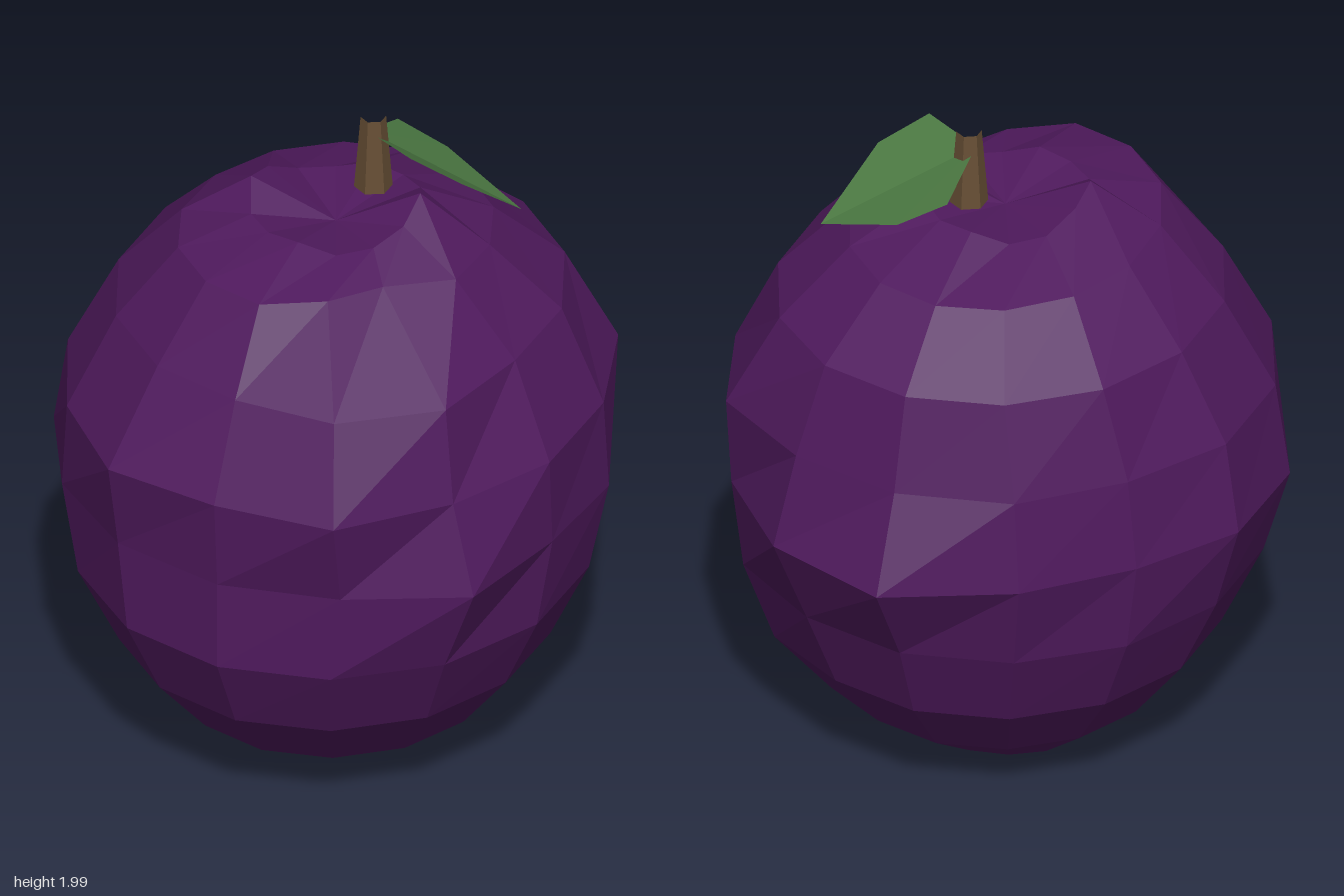
import * as THREE from 'three';

const SIDES = 14;

// Height, x radius, z radius and z centre of each ring, from bottom to top
const RINGS = [
  [0.01, 0.26, 0.22, 0.02],
  [0.17, 0.47, 0.5, 0.055],
  [0.37, 0.63, 0.67, 0.06],
  [0.62, 0.75, 0.78, 0.07],
  [0.9, 0.82, 0.8, 0.05],
  [1.18, 0.79, 0.81, 0.06],
  [1.46, 0.65, 0.7, 0.03],
  [1.67, 0.45, 0.51, 0.06],
  [0, 0.25, 0.25, 0.06],
];

// Heights round the uneven rim of the top dimple, starting at the back
const RIM = [1.75, 1.75, 1.77, 1.82, 1.77, 1.74, 1.73, 1.76, 1.75, 1.75, 1.81, 1.78, 1.73, 1.72];

// Lumps and dents on each ring: side, change of radius
const LUMPS = {
  1: [[2, 0.04]],
  2: [[2, 0.05]],
  3: [[2, 0.03]],
  4: [[0, 0.13], [1, 0.07], [3, -0.015], [4, -0.03], [5, 0.07], [10, 0.02], [11, 0.015], [12, -0.02], [13, 0.03]],
  5: [[2, 0.04], [6, 0.06], [8, 0.04], [12, -0.03]],
  6: [[5, 0.08], [6, 0.07]],
  7: [[5, -0.1], [6, -0.06]],
};

function flatMesh(name, positions, index, color, side = THREE.FrontSide) {
  let geometry = new THREE.BufferGeometry();
  geometry.setAttribute('position', new THREE.Float32BufferAttribute(positions, 3));
  geometry.setIndex(index);
  geometry = geometry.toNonIndexed();
  geometry.computeVertexNormals();
  const mesh = new THREE.Mesh(geometry, new THREE.MeshStandardMaterial({ color, flatShading: true, side }));
  mesh.name = name;
  return mesh;
}

// Lumpy faceted body with a dimple at each end
function makeFruit() {
  const positions = [];
  const index = [];
  RINGS.forEach(([y, rx, rz, cz], r) => {
    const lumps = new Map(LUMPS[r]);
    for (let k = 0; k < SIDES; k++) {
      const a = (k / SIDES) * Math.PI * 2;
      const extra = lumps.get(k) ?? 0;
      let height = y;
      if (r === 7) height -= 0.025 * Math.cos(a);
      if (r === 8) height = RIM[k];
      positions.push(0.015 + (rx + extra) * Math.sin(a), height, cz - (rz + extra) * Math.cos(a));
    }
  });
  for (let r = 0; r < RINGS.length - 1; r++) {
    for (let k = 0; k < SIDES; k++) {
      const next = (k + 1) % SIDES;
      const a = r * SIDES + k, b = r * SIDES + next;
      const c = a + SIDES, d = b + SIDES;
      index.push(a, c, b, b, c, d);
    }
  }
  // Dimple centres
  const bottom = positions.length / 3;
  positions.push(0.015, 0.08, 0.03, 0.02, 1.7, 0.07);
  const last = (RINGS.length - 1) * SIDES;
  for (let k = 0; k < SIDES; k++) {
    const next = (k + 1) % SIDES;
    index.push(bottom, k, next, bottom + 1, last + next, last + k);
  }
  return flatMesh('fruit', positions, index, 0x501a5e);
}

// Thin bent leaf, drawn as a fan
function makeLeaf() {
  const outline = [
    [0.06, 1.95, -0.05], [0.25, 1.96, 0.05], [0.38, 1.87, -0.02],
    [0.47, 1.69, -0.23], [0.2, 1.79, -0.3], [0.06, 1.87, -0.26],
  ];
  const index = [];
  for (let i = 1; i < outline.length - 1; i++) index.push(0, i, i + 1);
  return flatMesh('leaf', outline.flat(), index, 0x4c7a43, THREE.DoubleSide);
}

// Tapered six-sided stem, open at the ends
function makeStem() {
  const stem = new THREE.Mesh(
    new THREE.CylinderGeometry(0.037, 0.056, 0.235, 6, 1, true),
    new THREE.MeshStandardMaterial({ color: 0x664e34, flatShading: true })
  );
  stem.name = 'stem';
  stem.position.set(0.08, 1.8825, -0.055);
  return stem;
}

export function createModel() {
  const model = new THREE.Group();
  model.name = 'plum';
  model.add(makeFruit(), makeStem(), makeLeaf());
  return model;
}
